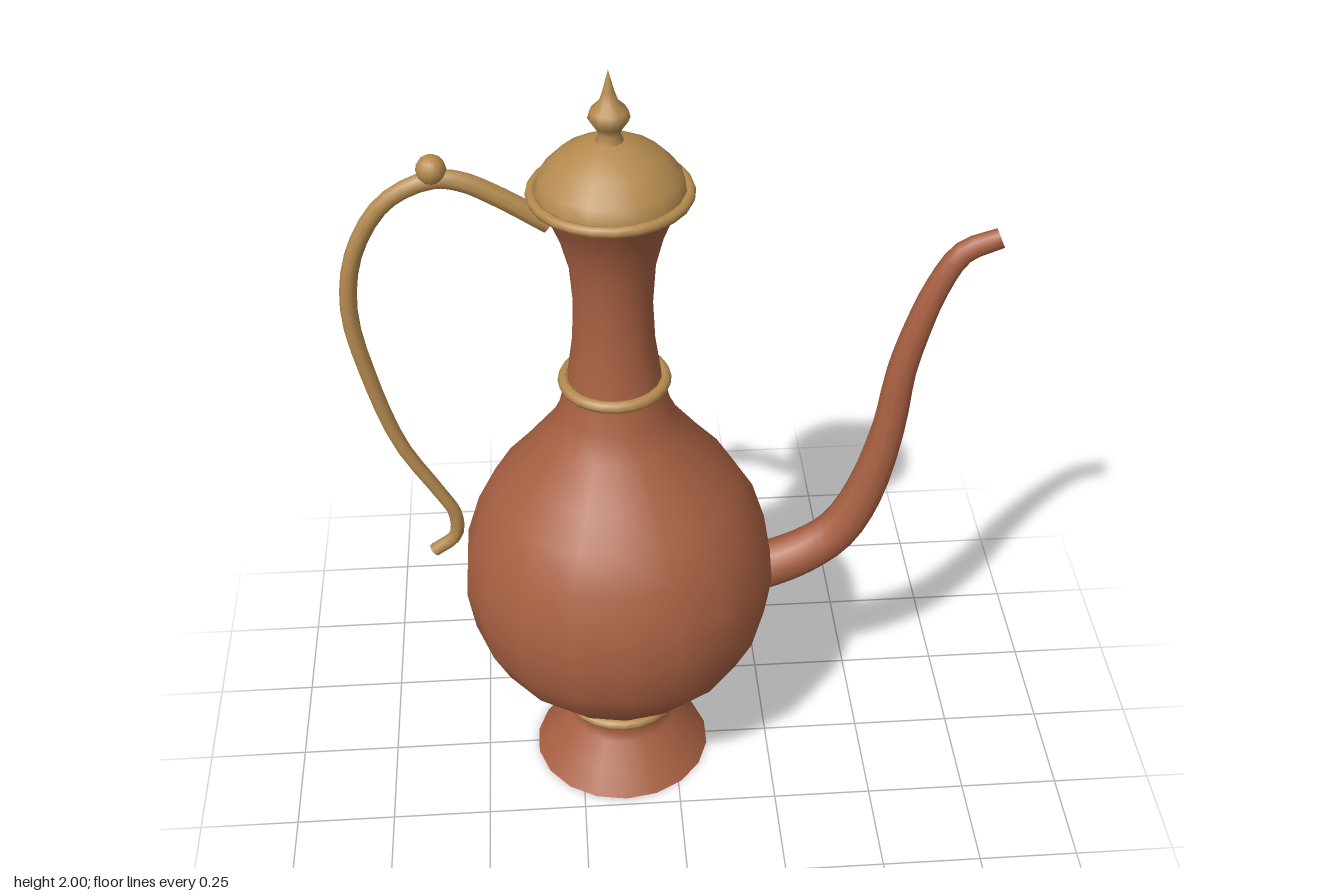
import * as THREE from 'three';
import { toCreasedNormals } from 'three/addons/utils/BufferGeometryUtils.js';

const AXIS = -0.14; // x of the vessel's turning axis

// Tapered, capped sweep along a curve in the xy plane; points are [x, y, radius]
function taperedSweep(points, rings, sides) {
  const curve = new THREE.CatmullRomCurve3(points.map(p => new THREE.Vector3(...p)));
  const pos = [], index = [];
  for (let i = 0; i <= rings + 2; i++) {
    const t = THREE.MathUtils.clamp((i - 1) / rings, 0, 1);
    const p = curve.getPoint(t), d = curve.getTangent(t).setZ(0).normalize();
    const r = i === 0 || i === rings + 2 ? 0 : p.z; // end rings collapse into caps
    for (let j = 0; j < sides; j++) {
      const a = j / sides * Math.PI * 2;
      const u = Math.cos(a) * r;
      pos.push(p.x - d.y * u, p.y + d.x * u, Math.sin(a) * r);
    }
  }
  for (let i = 0; i < rings + 2; i++) {
    for (let j = 0; j < sides; j++) {
      const k = (j + 1) % sides;
      const a = i * sides + j, b = i * sides + k, c = a + sides, e = b + sides;
      if (i > 0) index.push(a, b, c);
      if (i === 0) index.push(a, e, c);
      else if (i < rings + 1) index.push(b, e, c);
    }
  }
  const g = new THREE.BufferGeometry();
  g.setAttribute('position', new THREE.Float32BufferAttribute(pos, 3));
  g.setIndex(index);
  return toCreasedNormals(g, 1.0);
}

const lathe = (profile, sides) =>
  new THREE.LatheGeometry(profile.map(p => new THREE.Vector2(...p)), sides);

export function createModel() {
  const group = new THREE.Group();
  const clay = new THREE.MeshStandardMaterial({ name: 'copper', color: 0xa86042, side: THREE.DoubleSide });
  const brass = new THREE.MeshStandardMaterial({ name: 'brass', color: 0xb58a4f });

  function add(name, geometry, material, x = 0, y = 0) {
    const mesh = new THREE.Mesh(geometry, material);
    mesh.name = name;
    mesh.position.set(x, y, 0);
    group.add(mesh);
    return mesh;
  }

  // Hollow vessel: flared foot, round belly, narrow neck, flared mouth
  add('body', lathe([
    [0.23, 0], [0.19, 0.055], [0.14, 0.12], [0.13, 0.14], [0.13, 0.2], [0.185, 0.255],
    [0.265, 0.325], [0.33, 0.4], [0.373, 0.49], [0.39, 0.6], [0.382, 0.7], [0.348, 0.81],
    [0.3, 0.89], [0.238, 0.965], [0.165, 1.06], [0.135, 1.12], [0.114, 1.2], [0.098, 1.31],
    [0.093, 1.42], [0.1, 1.52], [0.118, 1.59], [0.14, 1.645], [0.172, 1.7],
  ], 18), clay, AXIS);

  // Brass rings around foot, neck and mouth
  for (const [name, y, r, tube] of [
    ['footRing', 0.185, 0.14, 0.015], ['neckRing', 1.2, 0.12, 0.015], ['mouthRing', 1.705, 0.177, 0.013],
  ]) add(name, new THREE.TorusGeometry(r, tube, 8, 24), brass, AXIS, y).rotation.x = Math.PI / 2;

  // Domed lid and pointed finial
  add('lid', lathe([
    [0, 1.7], [0.17, 1.7], [0.17, 1.715], [0.16, 1.748], [0.118, 1.792], [0.06, 1.825], [0, 1.84],
  ], 18), brass, AXIS);
  add('finial', lathe([
    [0.035, 1.825], [0.024, 1.85], [0.034, 1.868], [0.047, 1.887], [0.042, 1.905],
    [0.022, 1.925], [0.013, 1.95], [0, 2],
  ], 12), brass, AXIS);

  // S-shaped spout
  add('spout', taperedSweep([
    [0.17, 0.575, 0.06], [0.25, 0.6, 0.06], [0.333, 0.637, 0.057], [0.413, 0.7, 0.053],
    [0.476, 0.82, 0.049], [0.524, 1.01, 0.042], [0.545, 1.18, 0.037], [0.571, 1.29, 0.034],
    [0.614, 1.42, 0.03], [0.667, 1.51, 0.027], [0.75, 1.545, 0.024],
  ], 30, 10), clay);

  // Curved handle with a thumb ball
  add('handle', taperedSweep([
    [-0.28, 1.63, 0.025], [-0.386, 1.7, 0.024], [-0.466, 1.742, 0.023], [-0.53, 1.75, 0.022],
    [-0.635, 1.7, 0.021], [-0.714, 1.577, 0.02], [-0.742, 1.42, 0.02], [-0.714, 1.233, 0.019],
    [-0.656, 1.03, 0.018], [-0.571, 0.873, 0.017], [-0.541, 0.81, 0.017], [-0.545, 0.74, 0.017],
    [-0.6, 0.695, 0.017],
  ], 40, 8), brass);
  add('thumbBall', new THREE.SphereGeometry(0.034, 12, 8), brass, -0.53, 1.775);

  return group;
}
